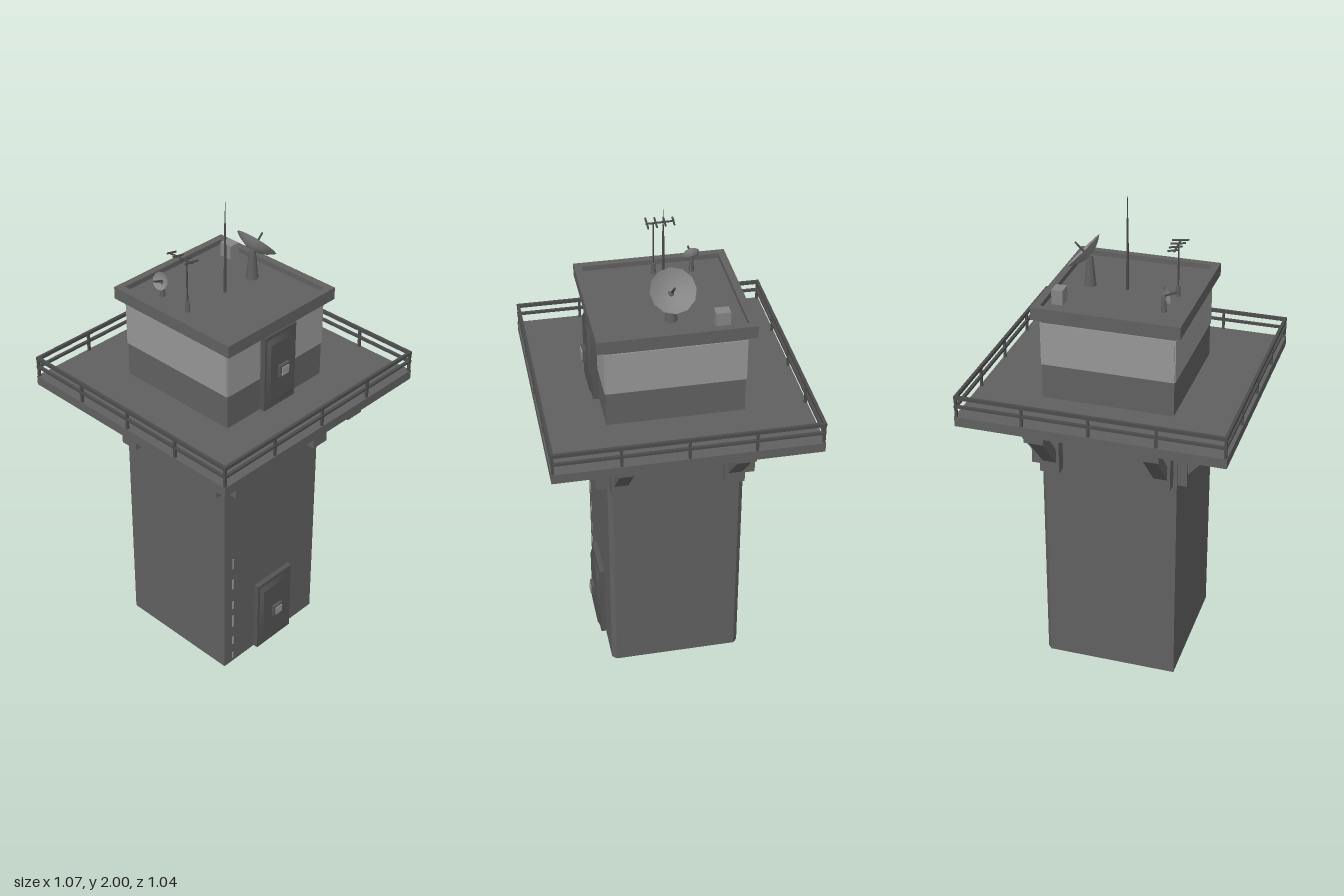
import * as THREE from 'three';

const mat = (name, color, side = THREE.FrontSide) => {
  const m = new THREE.MeshStandardMaterial({ color, side });
  m.name = name;
  return m;
};

export function createModel() {
  const concrete = mat('concrete', 0x606060);
  const doorGrey = mat('door grey', 0x545454);
  const railGrey = mat('rail grey', 0x4c4c4c);
  const paleGrey = mat('pale window grey', 0x969696);
  const dishGrey = mat('dish grey', 0x858585, THREE.DoubleSide);

  const model = new THREE.Group();
  model.name = 'watchtower';

  const add = (parent, name, geo, material, x = 0, y = 0, z = 0) => {
    const m = new THREE.Mesh(geo, material);
    m.name = name;
    m.position.set(x, y, z);
    parent.add(m);
    return m;
  };
  // Box given by its minimum and maximum corners
  const box = (parent, name, material, x0, x1, y0, y1, z0, z1) =>
    add(parent, name, new THREE.BoxGeometry(x1 - x0, y1 - y0, z1 - z0), material,
      (x0 + x1) / 2, (y0 + y1) / 2, (z0 + z1) / 2);
  // Thin rod between two points
  const rod = (parent, name, material, a, b, r0, r1 = r0, sides = 5) => {
    const p = new THREE.Vector3(...a), q = new THREE.Vector3(...b);
    const d = q.clone().sub(p);
    const m = add(parent, name, new THREE.CylinderGeometry(r1, r0, d.length(), sides), material);
    m.position.copy(p).add(q).multiplyScalar(0.5);
    m.quaternion.setFromUnitVectors(new THREE.Vector3(0, 1, 0), d.normalize());
    return m;
  };

  // Shaft with worn, chamfered corners on one side
  const plan = new THREE.Shape([
    [-0.283, -0.275], [0.262, -0.275], [0.28, -0.257], [0.28, 0.257], [0.262, 0.275], [-0.283, 0.275],
  ].map(([x, y]) => new THREE.Vector2(x, y)));
  const shaft = new THREE.ExtrudeGeometry(plan, { depth: 1.21, bevelEnabled: false });
  shaft.rotateX(-Math.PI / 2);
  add(model, 'shaft', shaft, concrete);

  // Worn pale streaks on the front
  [[0.02, 0.05], [0.1, 0.14], [0.2, 0.26], [0.3, 0.34], [0.41, 0.46], [0.52, 0.57]].forEach(([a, b]) =>
    box(model, 'paintStreak', paleGrey, -0.238, -0.23, a, b, 0.27, 0.278));

  // Gallery platform and cabin
  box(model, 'platform', concrete, -0.535, 0.535, 1.2, 1.24, -0.522, 0.522);
  box(model, 'cabin', concrete, -0.265, 0.265, 1.23, 1.59, -0.272, 0.272);

  // Window band, broken by the door at the front
  const bandY = [1.385, 1.562];
  box(model, 'windowBandBack', paleGrey, -0.265, 0.265, ...bandY, -0.276, -0.27);
  box(model, 'windowBandLeft', paleGrey, 0.263, 0.269, ...bandY, -0.272, 0.272);
  box(model, 'windowBandRight', paleGrey, -0.269, -0.263, ...bandY, -0.272, 0.272);
  box(model, 'windowBandFront', paleGrey, -0.265, -0.09, ...bandY, 0.27, 0.276);
  box(model, 'windowBandFront', paleGrey, 0.09, 0.265, ...bandY, 0.27, 0.276);

  // Roof slab with a raised rim
  box(model, 'roof', concrete, -0.294, 0.294, 1.585, 1.615, -0.306, 0.306);
  for (const s of [-1, 1]) {
    box(model, 'roofRim', concrete, Math.min(s * 0.264, s * 0.294), Math.max(s * 0.264, s * 0.294),
      1.61, 1.636, -0.306, 0.306);
    box(model, 'roofRim', concrete, -0.264, 0.264, 1.61, 1.636,
      Math.min(s * 0.277, s * 0.306), Math.max(s * 0.277, s * 0.306));
  }

  // Doors: bevelled panel with a raised middle and a handle block
  const door = (name, width, height, y) => {
    const g = new THREE.Group();
    g.name = name;
    const w = width / 2;
    box(g, 'doorFrame', doorGrey, -w, w, 0, height, 0.265, 0.296);
    const panel = new THREE.CylinderGeometry(0.86 / Math.SQRT2, 1 / Math.SQRT2, 1, 4);
    panel.rotateY(Math.PI / 4).rotateX(Math.PI / 2).scale(width * 0.88, height * 0.9, 0.012);
    add(g, 'doorPanel', panel, doorGrey, 0, height / 2, 0.302);
    box(g, 'doorHandle', doorGrey, -0.026, 0.026, height / 2 - 0.026, height / 2 + 0.026, 0.3, 0.322);
    box(g, 'handlePlate', paleGrey, -0.019, 0.019, height / 2 - 0.018, height / 2 + 0.018, 0.318, 0.326);
    g.position.y = y;
    model.add(g);
  };
  door('lowerDoor', 0.205, 0.345, 0);
  door('upperDoor', 0.172, 0.33, 1.24);

  // Brackets: wall post, top beam and diagonal brace, two on each side
  const braceShape = new THREE.Shape([
    [0.3, 0.955], [0.3, 1.015], [0.425, 1.16], [0.485, 1.16],
  ].map(([x, y]) => new THREE.Vector2(x, y)));
  for (let side = 0; side < 4; side++) {
    const g = new THREE.Group();
    g.name = 'bracketPair';
    g.rotation.y = side * Math.PI / 2;
    for (const s of [-1, 1]) {
      const c = s * 0.228;
      box(g, 'bracketPost', concrete, 0.265, 0.322, 0.93, 1.2, c - 0.04, c + 0.04);
      box(g, 'bracketBeam', concrete, 0.3, 0.49, 1.155, 1.2, c - 0.04, c + 0.04);
      const brace = new THREE.ExtrudeGeometry(braceShape, { depth: 0.056, bevelEnabled: false });
      add(g, 'bracketBrace', brace, concrete, 0, 0, c - 0.028);
    }
    model.add(g);
  }

  // Railing: two rails around the platform with thin posts
  const rx = 0.528, rz = 0.515;
  for (const [y, h] of [[1.322, 0.007], [1.284, 0.005]]) {
    for (const s of [-1, 1]) {
      box(model, 'railing', railGrey, -rx - 0.006, rx + 0.006, y - h, y + h, s * rz - 0.006, s * rz + 0.006);
      box(model, 'railing', railGrey, s * rx - 0.006, s * rx + 0.006, y - h, y + h, -rz, rz);
    }
  }
  for (let i = 0; i < 4; i++) {
    const t = -1 + i * 0.5;
    for (const [x, z] of [[t * rx, rz], [-t * rx, -rz], [rx, -t * rz], [-rx, t * rz]]) {
      box(model, 'railPost', railGrey, x - 0.005, x + 0.005, 1.235, 1.32, z - 0.005, z + 0.005);
    }
  }

  // Shallow dish whose open side faces the given direction
  const dish = (name, radius, depth, pos, dir, material, feed) => {
    const g = new THREE.Group();
    g.name = name;
    const pts = [0, 0.35, 0.7, 1].map(t => new THREE.Vector2(radius * t, depth * (t * t - 1)));
    add(g, 'dishBowl', new THREE.LatheGeometry(pts, 12), material);
    rod(g, 'dishFeed', railGrey, [0, -depth, 0], [0, feed, 0], 0.005, 0.004);
    g.position.set(...pos);
    g.quaternion.setFromUnitVectors(new THREE.Vector3(0, 1, 0), new THREE.Vector3(...dir).normalize());
    model.add(g);
  };
  dish('largeDish', 0.089, 0.035, [0.182, 1.758, -0.003], [0.73, 0.68, 0], dishGrey, 0.045);
  rod(model, 'largeDishStand', concrete, [0.155, 1.61, 0], [0.155, 1.74, 0], 0.026, 0.012, 8);
  dish('smallDish', 0.036, 0.014, [-0.197, 1.685, -0.15], [-0.9, 0.35, 0.1], dishGrey, 0.04);
  rod(model, 'smallDishStand', concrete, [-0.187, 1.61, -0.15], [-0.184, 1.68, -0.15], 0.012, 0.007, 6);
  box(model, 'roofUnit', dishGrey, 0.196, 0.241, 1.61, 1.675, -0.212, -0.156);

  // Central whip antenna
  rod(model, 'whipAntenna', railGrey, [0.003, 1.61, 0], [0.003, 1.91, 0], 0.006, 0.004, 6);
  rod(model, 'whipTip', railGrey, [0.003, 1.9, 0], [0.003, 2, 0], 0.003, 0.001, 4);

  // Directional antenna on a mast
  rod(model, 'antennaMastBase', concrete, [-0.2, 1.61, 0], [-0.2, 1.66, 0], 0.011, 0.008, 6);
  rod(model, 'antennaMast', railGrey, [-0.2, 1.65, 0], [-0.2, 1.84, 0], 0.004, 0.003);
  rod(model, 'antennaBoom', railGrey, [-0.2, 1.835, 0.03], [-0.205, 1.835, -0.085], 0.004);
  for (let i = 0; i < 4; i++) {
    const z = 0.025 - i * 0.035, w = 0.034 - i * 0.004;
    rod(model, 'antennaElement', railGrey, [-0.2 - w, 1.842, z], [-0.2 + w, 1.832, z], 0.004);
  }

  return model;
}
